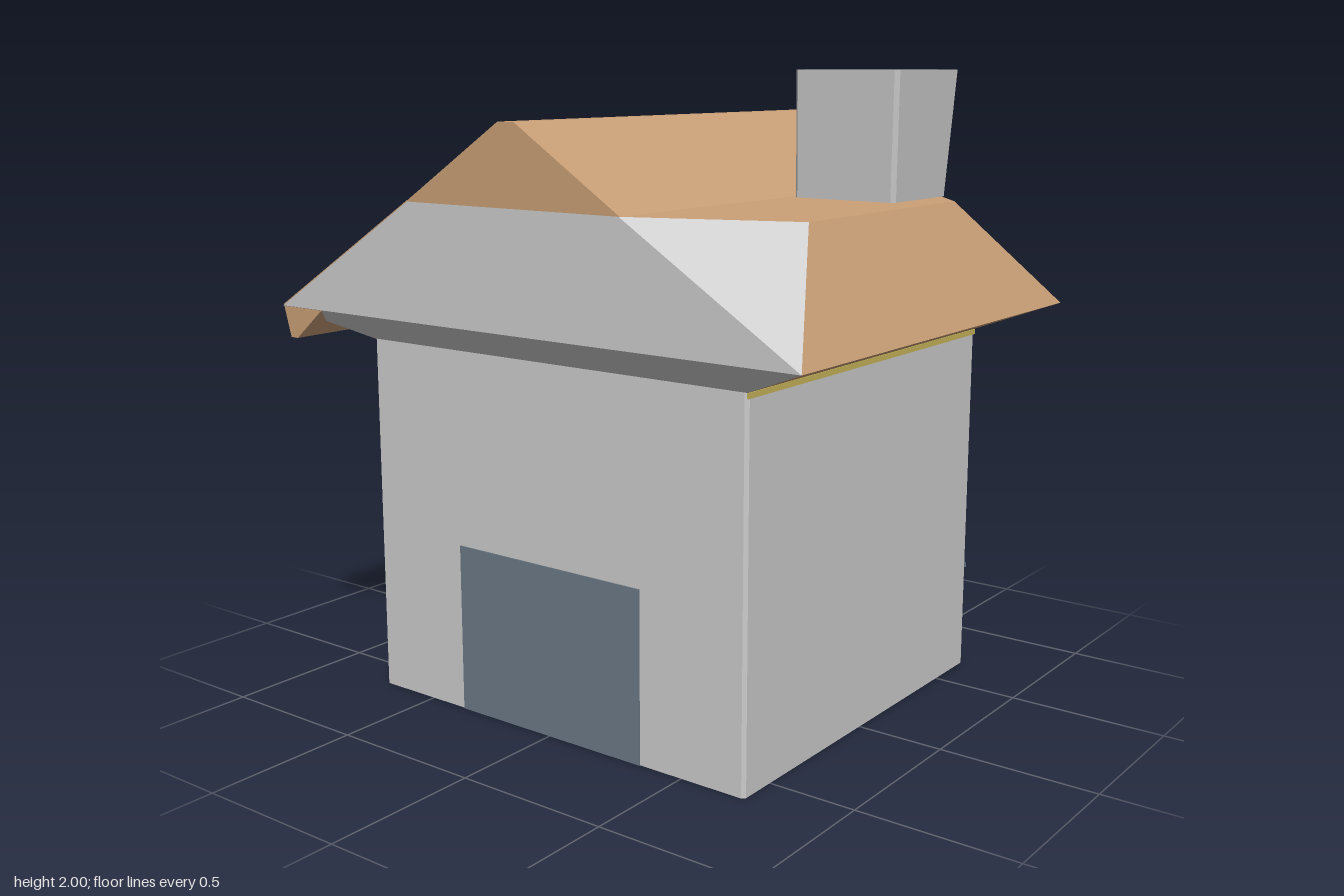
import * as THREE from 'three';

const paint = (color) =>
  new THREE.MeshStandardMaterial({ color, flatShading: true, side: THREE.DoubleSide });
const grey = paint(0xcccccc);
const brown = paint(0xc99f76);
const slate = paint(0x6a7985);
const yellow = paint(0xc8b45a);

// Flat convex faces, each given as a loop of [x, y, z] corners.
function faces(name, material, loops) {
  const pos = [];
  for (const loop of loops) {
    for (let i = 1; i < loop.length - 1; i++) pos.push(...loop[0], ...loop[i], ...loop[i + 1]);
  }
  const geo = new THREE.BufferGeometry();
  geo.setAttribute('position', new THREE.Float32BufferAttribute(pos, 3));
  geo.computeVertexNormals();
  const mesh = new THREE.Mesh(geo, material);
  mesh.name = name;
  return mesh;
}

// Rectangle loop at height y with cut corners, counter-clockwise from above.
const ring = (y, x0, x1, z0, z1, c) => [
  [x0 + c, y, z1], [x1 - c, y, z1], [x1, y, z1 - c], [x1, y, z0 + c],
  [x1 - c, y, z0], [x0 + c, y, z0], [x0, y, z0 + c], [x0, y, z1 - c],
];

// Side faces between two rings.
const sides = (a, b) =>
  a.map((p, i) => {
    const j = (i + 1) % a.length;
    return [p, a[j], b[j], b[i]];
  });

// Profile in x and y, extruded from z0 to z1.
function prism(name, material, points, z0, z1) {
  const shape = new THREE.Shape(points.map(([x, y]) => new THREE.Vector2(x, y)));
  const geo = new THREE.ExtrudeGeometry(shape, { depth: z1 - z0, bevelEnabled: false });
  const mesh = new THREE.Mesh(geo, material);
  mesh.position.z = z0;
  mesh.name = name;
  return mesh;
}

function box(name, material, x0, x1, y0, y1, z0, z1) {
  const mesh = new THREE.Mesh(new THREE.BoxGeometry(x1 - x0, y1 - y0, z1 - z0), material);
  mesh.position.set((x0 + x1) / 2, (y0 + y1) / 2, (z0 + z1) / 2);
  mesh.name = name;
  return mesh;
}

function createModel() {
  const house = new THREE.Group();
  house.name = 'house';

  // Walls: open at the bottom, with narrow cut corners
  const W = 0.72, front = 0.63, back = -0.69, wallTop = 1.16;
  house.add(faces('walls', grey, sides(
    ring(0, -W, W, back, front, 0.01),
    ring(wallTop, -W, W, back, front, 0.01))));

  // Door, rear trim line and the trim under the eaves
  house.add(
    box('door', slate, -0.36, 0.35, 0, 0.54, front - 0.002, front + 0.004),
    box('rearTrim', slate, -W, W, 0.34, 0.355, back - 0.003, back + 0.002),
    box('rightEaveTrim', yellow, W - 0.002, W + 0.003, 1.143, wallTop, back, front),
    box('rearEaveTrim', yellow, -W, W, 1.143, wallTop, back - 0.003, back + 0.002));

  // Main roof key points
  const E = 0.98, eaveY = 1.26, K = 0.4, kinkY = 1.62, Z = 0.775;
  const hipX = 0.77, hipY = 1.6, hipZ = 0.42;
  const roof = new THREE.Group();
  roof.name = 'roof';
  house.add(roof);

  // Gable ends with soffit and hip corner, front and back
  for (const [end, s, wallZ] of [['front', 1, front], ['back', -1, back]]) {
    const z = s * Z;
    const loops = [
      [[-E, eaveY, z], [E, eaveY, z], [K, kinkY, z], [-K, kinkY, z]],
      [[-E, eaveY, z], [-W, wallTop, wallZ], [W, wallTop, wallZ], [E, eaveY, z]],
      [[E, eaveY, z], [hipX, hipY, s * hipZ], [K, kinkY, z]],
    ];
    if (s < 0) loops.forEach((l) => l.reverse());
    roof.add(faces(end + 'Gable', grey, loops));
  }

  // Left bed of the roof, beneath the tiles
  roof.add(faces('leftRoofBed', grey, [
    [[-E, eaveY, -Z], [-E, eaveY, Z], [-K, kinkY, Z], [-K, kinkY, -Z]],
    [[-E, eaveY, -Z], [-W, wallTop, back], [-W, wallTop, front], [-E, eaveY, Z]],
  ]));

  // Right side: shallow upper plane, steep hip and soffit
  roof.add(faces('rightRoof', brown, [
    [[K, kinkY, Z], [hipX, hipY, hipZ], [hipX, hipY, -hipZ], [K, kinkY, -Z]],
    [[E, eaveY, Z], [E, eaveY, -Z], [hipX, hipY, -hipZ], [hipX, hipY, hipZ]],
    [[E, eaveY, Z], [W, wallTop, front], [W, wallTop, back], [E, eaveY, -Z]],
  ]));

  // Ridge cap and the thick left slope with its hanging eave
  roof.add(
    prism('ridgeCap', brown,
      [[-K - 0.004, kinkY], [K + 0.004, kinkY], [0.03, 1.86], [-0.03, 1.86]], -0.77, Z),
    prism('leftSlope', brown,
      [[-K, kinkY + 0.005], [-E, eaveY + 0.005], [-0.95, wallTop], [-0.92, wallTop],
        [-0.8, eaveY], [-0.36, 1.56]], -0.76, Z - 0.002));

  // Chimney: widens towards the top, brown on its inner and lower faces
  const low = ring(1.62, 0.425, 0.77, -0.36, -0.04, 0.012);
  const high = ring(2, 0.44, 0.79, -0.385, -0.01, 0.012);
  const flanks = sides(low, high);
  const inner = flanks.splice(6, 1);
  const chimney = new THREE.Group();
  chimney.name = 'chimney';
  chimney.add(
    faces('chimneyStack', grey, [...flanks, high]),
    faces('chimneyInnerFace', brown, [...inner, [...low].reverse()]));
  house.add(chimney);

  return house;
}

export { createModel };
